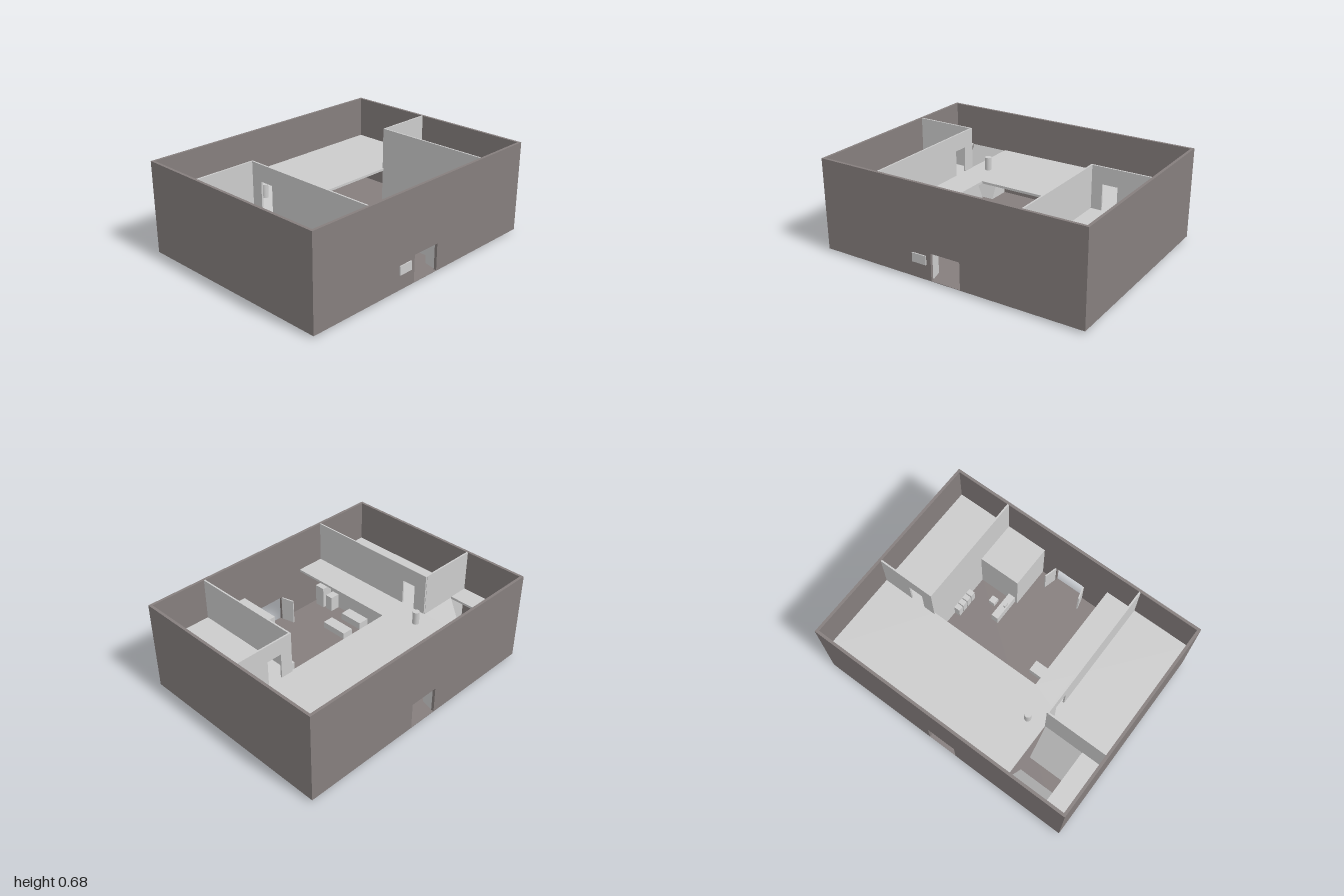
import * as THREE from 'three';

const grey = new THREE.MeshStandardMaterial({ color: 0xcccccc });
const brown = new THREE.MeshStandardMaterial({ color: 0x857e7d });

const FLOOR = 0.02, DECK = 0.375, TOP = 0.68, BASE = 0.013;

export function createModel() {
  const model = new THREE.Group();

  function add(name, geometry, material = grey) {
    const mesh = new THREE.Mesh(geometry, material);
    mesh.name = name;
    model.add(mesh);
    return mesh;
  }

  // Box given by its limits on each axis
  function box(name, x0, x1, y0, y1, z0, z1, material) {
    const g = new THREE.BoxGeometry(x1 - x0, y1 - y0, z1 - z0);
    g.translate((x0 + x1) / 2, (y0 + y1) / 2, (z0 + z1) / 2);
    return add(name, g, material);
  }

  function polygon(points) {
    return new THREE.Shape(points.map(([a, b]) => new THREE.Vector2(a, b)));
  }

  function rect(u0, u1, y0, y1) {
    return polygon([[u0, y0], [u1, y0], [u1, y1], [u0, y1]]);
  }

  // Upright wall from u0 to u1, centred on 'at'; opening = [u0, u1, y0, y1]
  function wall(name, along, at, u0, u1, y0, y1, t, opening, material) {
    const shape = rect(u0, u1, y0, y1);
    if (opening) shape.holes.push(rect(...opening));
    const g = new THREE.ExtrudeGeometry(shape, { depth: t, bevelEnabled: false });
    g.translate(0, 0, -t / 2);
    if (along === 'z') g.rotateY(-Math.PI / 2);
    const mesh = add(name, g, material);
    mesh.position[along === 'z' ? 'x' : 'z'] = at;
  }

  // Outer shell with a doorway in each long side
  box('groundFloor', -0.765, 0.755, 0.017, FLOOR, -1, 1, brown);
  const doorway = [-0.11, 0.115, FLOOR, 0.215];
  wall('leftOuterWall', 'z', 0.745, -1, 1, 0.017, TOP, 0.02, doorway, brown);
  wall('rightOuterWall', 'z', -0.755, -1, 1, 0.017, TOP, 0.02, doorway, brown);
  for (const s of [-1, 1]) {
    wall(s > 0 ? 'frontOuterWall' : 'backOuterWall', 'x', s * 0.99,
      -0.745, 0.735, 0.017, TOP, 0.02, null, brown);
  }

  // Upper floor, notched around the open hall and the stairwell
  const deck = new THREE.ExtrudeGeometry(polygon([
    [-0.745, -0.98], [0.735, -0.98], [0.735, -0.555], [-0.11, -0.555],
    [-0.11, 0.31], [0.735, 0.31], [0.735, 0.98], [-0.745, 0.98],
    [-0.745, 0.83], [-0.30, 0.83], [-0.30, 0.53], [-0.745, 0.53],
  ]), { depth: 0.017, bevelEnabled: false });
  deck.rotateX(Math.PI / 2);
  deck.translate(0, DECK, 0);
  add('upperFloor', deck);

  // Inner walls of the front and back rooms, running through both storeys
  wall('frontRoomWall', 'x', 0.533, -0.30, 0.735, BASE, TOP, 0.012,
    [-0.206, -0.10, DECK, 0.56]);
  wall('frontRoomSideWall', 'z', -0.296, 0.539, 0.98, BASE, TOP, 0.012);
  wall('backRoomWall', 'x', -0.557, -0.12, 0.735, BASE, TOP, 0.012);
  wall('backRoomSideWall', 'z', -0.114, -0.98, -0.563, BASE, TOP, 0.012,
    [-0.75, -0.64, DECK, 0.56]);

  // Small office under its own ceiling
  wall('officeFrontWall', 'x', -0.236, 0.41, 0.735, BASE, 0.36, 0.012);
  wall('officeSideWall', 'z', 0.416, -0.551, -0.242, BASE, 0.36, 0.012);
  box('officeCeiling', 0.41, 0.735, 0.36, DECK, -0.548, -0.23);

  // Stair flights on either side of the stairwell
  function flight(name, xLow, xHigh, yLow) {
    const g = new THREE.ExtrudeGeometry(
      polygon([[xLow, yLow], [xHigh, yLow], [xHigh, 0.37]]),
      { depth: 0.29, bevelEnabled: false });
    g.translate(0, 0, 0.535);
    add(name, g);
  }
  flight('innerStairFlight', -0.47, -0.303, 0.008);
  flight('outerStairFlight', -0.57, -0.745, FLOOR);

  // Open door leaves at both doorways
  for (const sx of [-1, 1]) {
    for (const sz of [-1, 1]) {
      const leaf = add('doorLeaf', new THREE.BoxGeometry(0.105, 0.19, 0.01));
      leaf.position.set(sx * 0.69 - (sx < 0 ? 0.01 : 0), FLOOR + 0.095, sz * 0.134);
      leaf.rotation.y = sx * sz * 0.26;
    }
  }

  // Plaque beside the entrance
  box('wallPlaque', 0.755, 0.763, 0.125, 0.19, 0.15, 0.26);

  // Reception desk with screen, stool and a row of cabinets
  box('receptionDesk', 0.20, 0.41, FLOOR, 0.10, -0.305, -0.25);
  box('deskScreen', 0.30, 0.335, 0.10, 0.13, -0.272, -0.258);
  box('receptionStool', 0.29, 0.34, 0.012, 0.065, -0.40, -0.35);
  for (let i = 0; i < 4; i++) {
    const x = 0.078 + i * 0.047;
    box('filingCabinet', x, x + 0.04, 0, 0.12, -0.551, -0.505);
  }

  // Lounge seats and cupboards reaching under the upper floor
  box('sideSofa', 0.035, 0.12, FLOOR, 0.075, 0.16, 0.37);
  box('nearSofa', 0.22, 0.43, FLOOR, 0.07, 0.26, 0.345);
  box('farSofa', 0.22, 0.41, FLOOR, 0.075, 0.43, 0.515);
  box('tallCupboard', 0.62, 0.70, FLOOR, 0.19, 0.44, 0.525);
  box('lowCupboard', 0.54, 0.60, FLOOR, 0.14, 0.45, 0.525);

  // Round stand on the upper floor
  add('roundStand', new THREE.CylinderGeometry(0.024, 0.024, 0.095, 32))
    .position.set(-0.33, DECK + 0.0475, 0.407);

  return model;
}
